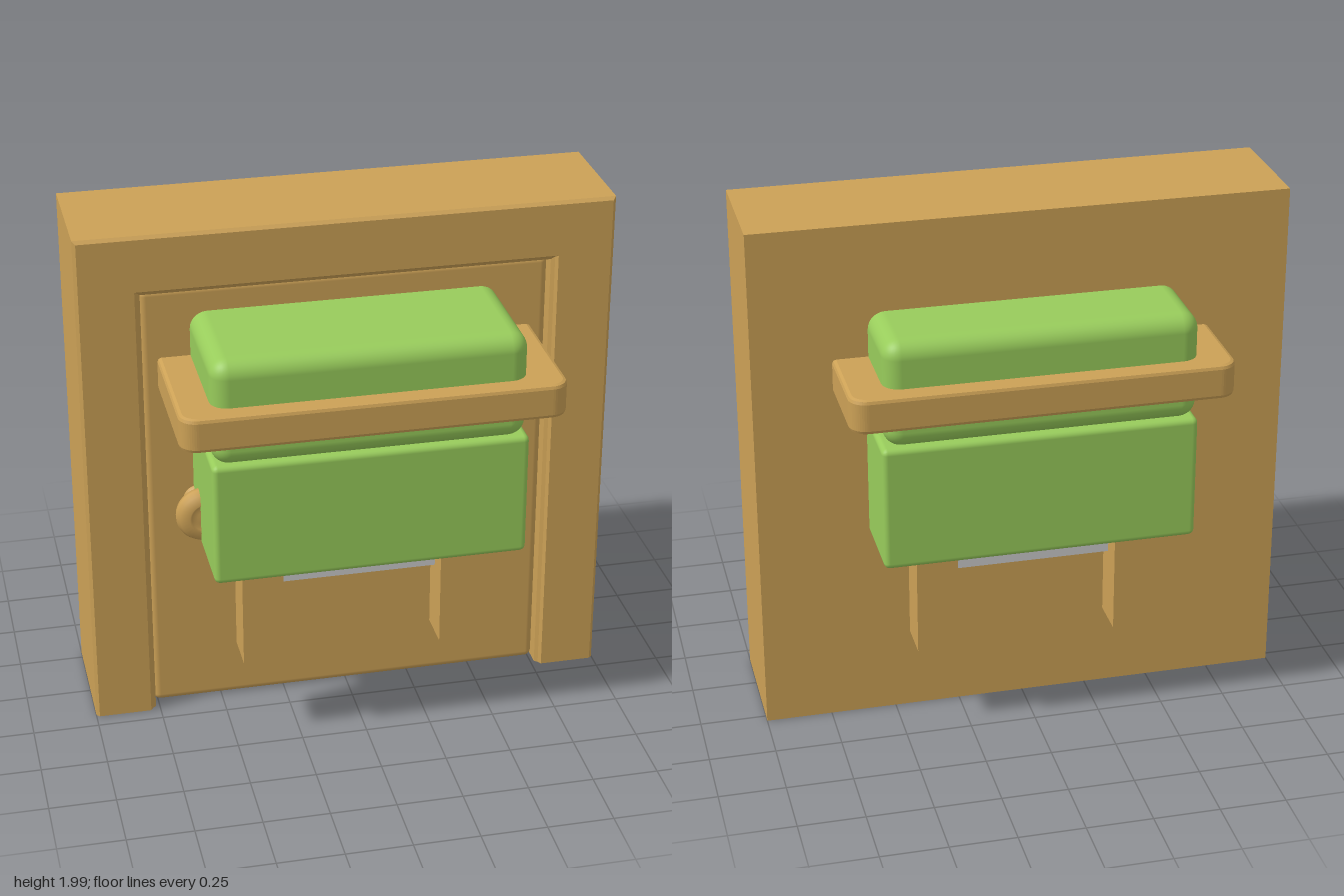
import * as THREE from 'three';
import { RoundedBoxGeometry } from 'three/addons/geometries/RoundedBoxGeometry.js';

const wood = new THREE.MeshStandardMaterial({ color: 0xcca156 });
const shellWood = new THREE.MeshStandardMaterial({ color: 0xcca156, side: THREE.DoubleSide });
const green = new THREE.MeshStandardMaterial({ color: 0x98cc5b });
const grey = new THREE.MeshStandardMaterial({ color: 0xcccccc });

function add(parent, name, geometry, material, x = 0, y = 0, z = 0) {
  const mesh = new THREE.Mesh(geometry, material);
  mesh.name = name;
  mesh.position.set(x, y, z);
  parent.add(mesh);
  return mesh;
}

// Sweeps an [inset, z] profile up one side, across the top and down the other
function archShell(profile, halfWidth, height) {
  const pos = [];
  const stations = [[-1, 0], [-1, 1], [1, 1], [1, 0]];
  const point = (s, [inset, z]) => [s[0] * (halfWidth - inset), s[1] * (height - inset), z];
  for (let i = 0; i < stations.length - 1; i++) {
    for (let j = 0; j < profile.length - 1; j++) {
      const a = point(stations[i], profile[j]);
      const b = point(stations[i], profile[j + 1]);
      const c = point(stations[i + 1], profile[j + 1]);
      const d = point(stations[i + 1], profile[j]);
      pos.push(...a, ...b, ...c, ...a, ...c, ...d);
    }
  }
  const g = new THREE.BufferGeometry();
  g.setAttribute('position', new THREE.Float32BufferAttribute(pos, 3));
  g.computeVertexNormals();
  return g;
}

// Flat slab with rounded corners in plan and softly rounded rims
function roundedSlab(w, d, h, r, bevel) {
  const x = w / 2 - bevel, y = d / 2 - bevel, q = r - bevel;
  const s = new THREE.Shape();
  s.absarc(x - q, y - q, q, 0, Math.PI / 2);
  s.absarc(-x + q, y - q, q, Math.PI / 2, Math.PI);
  s.absarc(-x + q, -y + q, q, Math.PI, Math.PI * 1.5);
  s.absarc(x - q, -y + q, q, Math.PI * 1.5, Math.PI * 2);
  const g = new THREE.ExtrudeGeometry(s, {
    depth: h - 2 * bevel, bevelSize: bevel, bevelThickness: bevel, bevelSegments: 2, curveSegments: 6,
  });
  g.translate(0, 0, -h / 2 + bevel);
  g.rotateX(-Math.PI / 2);
  return g;
}

export function createModel() {
  const model = new THREE.Group();

  // Door frame: hollow shell, open underneath, with chamfered outer and inner edges
  const frame = new THREE.Group();
  frame.name = 'doorFrame';
  model.add(frame);
  const profile = [[0, -0.285], [0, 0.178], [0.012, 0.19], [0.213, 0.19], [0.222, 0.175], [0.235, 0.165], [0.235, 0.08]];
  add(frame, 'frameShell', archShell(profile, 1, 1.985), shellWood);
  add(frame, 'frameBack', new THREE.PlaneGeometry(2, 1.985), shellWood, 0, 0.9925, -0.285).rotation.y = Math.PI;

  // Door panel and knob
  add(model, 'doorPanel', new RoundedBoxGeometry(1.53, 1.75, 0.266, 3, 0.027), wood, 0, 0.875, -0.003);
  const knobProfile = [[0.06, 0], [0.06, 0.02], [0.035, 0.03], [0.035, 0.07], [0.08, 0.085], [0.105, 0.11],
    [0.107, 0.13], [0.095, 0.155], [0.06, 0.168], [0.052, 0.16], [0.03, 0.158], [0, 0.162]]
    .map(([r, h]) => new THREE.Vector2(r, h));
  add(model, 'doorKnob', new THREE.LatheGeometry(knobProfile, 32), shellWood, -0.567, 0.88, 0.125).rotation.x = Math.PI / 2;

  // Upper block, surrounding band and lower block
  add(model, 'upperBlock', new RoundedBoxGeometry(1.155, 0.41, 1.18, 4, 0.065), green, -0.005, 1.445, 0);
  add(model, 'band', roundedSlab(1.41, 1.32, 0.132, 0.065, 0.015), wood, 0, 1.413, 0);
  add(model, 'lowerBlock', new RoundedBoxGeometry(1.17, 0.48, 1.165, 2, 0.022), green, 0, 1.002, -0.003);

  // Core under the lower block, and four legs
  add(model, 'core', new THREE.BoxGeometry(0.6, 0.2, 0.76), grey, -0.01, 0.725, -0.005);
  for (const sx of [-1, 1]) {
    for (const sz of [-1, 1]) {
      add(model, 'leg', new THREE.BoxGeometry(0.155, 0.46, 0.155), wood, -0.01 + sx * 0.378, 0.57, -0.005 + sz * 0.39);
    }
  }

  return model;
}
